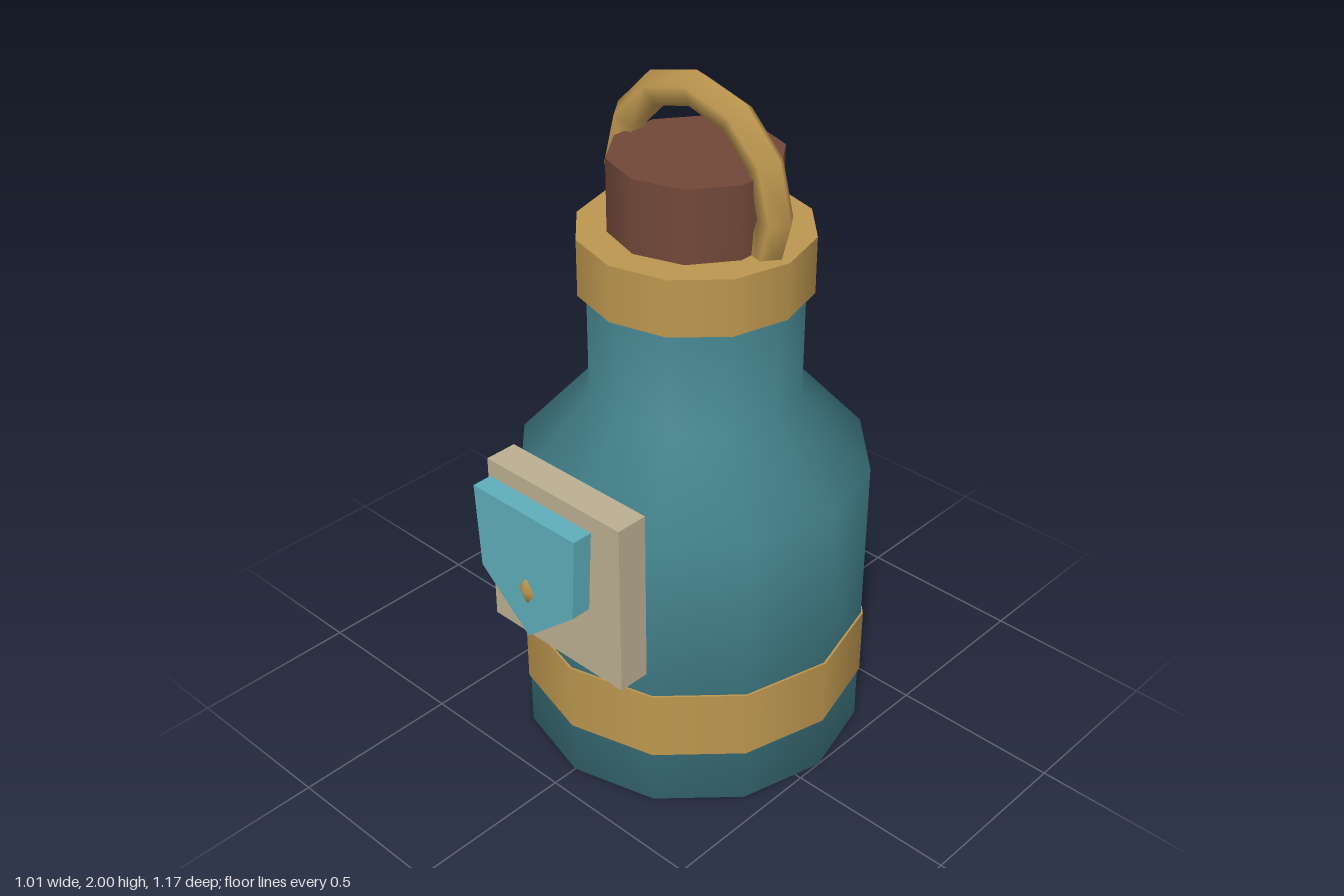
import * as THREE from 'three';

const material = (name, color) => {
  const m = new THREE.MeshStandardMaterial({ color });
  m.name = name;
  return m;
};

export function createModel() {
  const teal = material('teal glaze', 0x45858f);
  const brass = material('brass', 0xbd974f);
  const cork = material('cork brown', 0x724839);
  const canvas = material('canvas beige', 0xbdb092);
  const aqua = material('aqua flap', 0x5fafbc);

  const group = new THREE.Group();
  group.name = 'stopperedFlask';
  const AXIS_Z = -0.08;

  const add = (name, geometry, mat, x = 0, y = 0, z = AXIS_Z) => {
    const mesh = new THREE.Mesh(geometry, mat);
    mesh.name = name;
    mesh.position.set(x, y, z);
    group.add(mesh);
    return mesh;
  };
  // Upright cylinder spanning two heights
  const drum = (name, radius, y0, y1, sides, mat) =>
    add(name, new THREE.CylinderGeometry(radius, radius, y1 - y0, sides), mat, 0, (y0 + y1) / 2);

  // Bottle body: base, wall, shoulder and neck, smoothly shaded
  const profile = [[0, 0], [0.5, 0], [0.5, 0.88], [0.3, 1.1], [0.3, 1.5]]
    .map(([r, y]) => new THREE.Vector2(r, y));
  add('body', new THREE.LatheGeometry(profile, 12), teal);

  // Metal bands and stopper
  drum('lowerBand', 0.506, 0.17, 0.38, 12, brass);
  drum('neckCollar', 0.324, 1.41, 1.573, 12, brass);
  drum('stopper', 0.236, 1.5, 1.78, 10, cork);

  // Carrying ring, its lower part sunk into the collar
  add('handle', new THREE.TorusGeometry(0.275, 0.049, 5, 12), brass, 0, 1.676);

  // Pouch on the front
  add('pouch', new THREE.BoxGeometry(0.496, 0.52, 0.096), canvas, 0, 0.73, 0.421);

  // Pointed flap in front of the pouch
  const flap = new THREE.Shape([[-0.19, 0.98], [-0.175, 0.73], [0, 0.58], [0.175, 0.73], [0.19, 0.98]]
    .map(([x, y]) => new THREE.Vector2(x, y)));
  add('pouchFlap', new THREE.ExtrudeGeometry(flap, { depth: 0.06, bevelEnabled: false }),
    aqua, 0, 0, 0.51);

  // Round stud passing through the flap
  add('flapStud', new THREE.SphereGeometry(0.071, 8, 6), brass, 0, 0.73, 0.511);

  return group;
}
